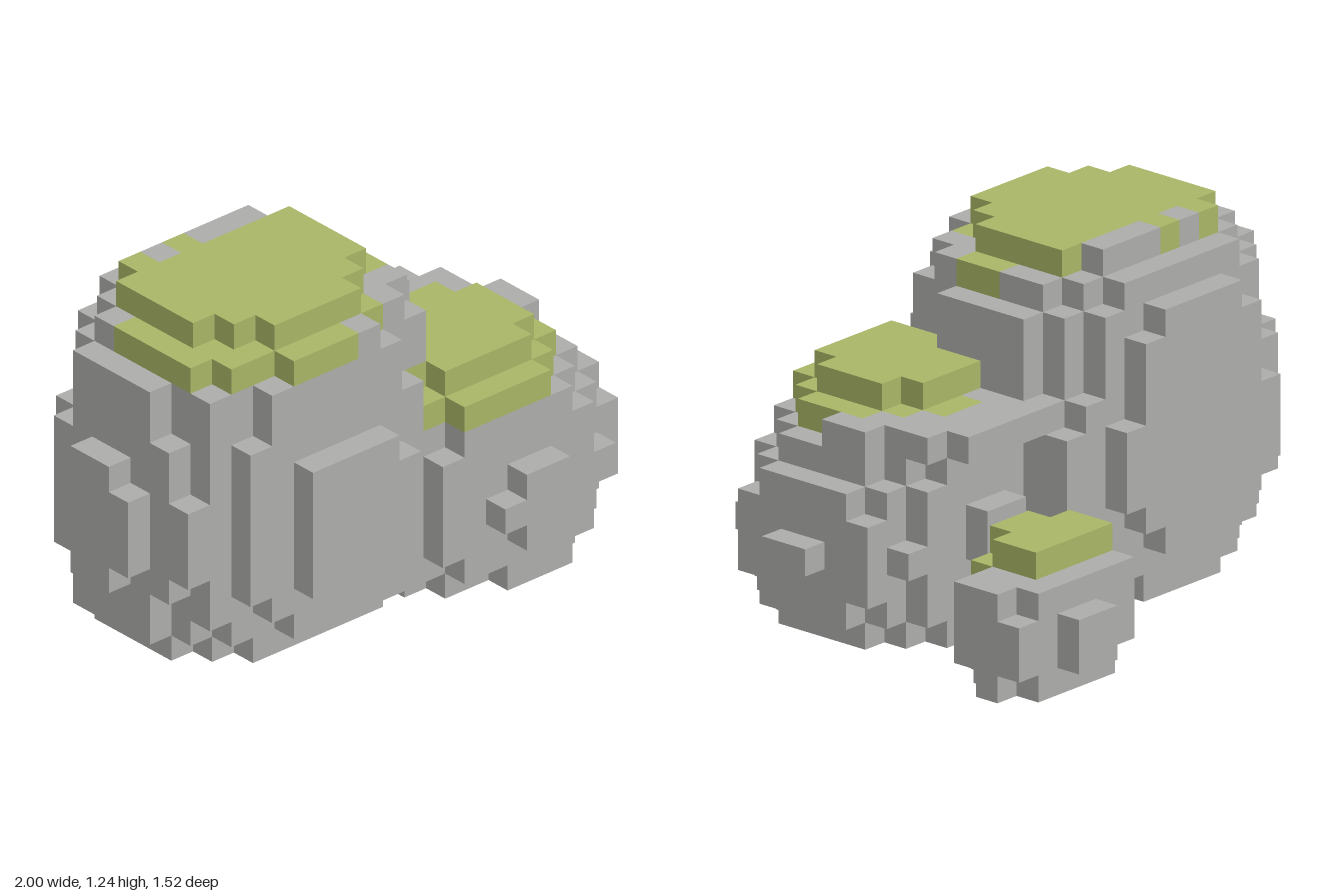
import * as THREE from 'three';
import { mergeGeometries } from 'three/addons/utils/BufferGeometryUtils.js';

// Cube size and the grid's extent in cubes
const S = 2 / 21, NX = 21, NZ = 16;

// Each rock: elliptical layers from the ground up, as [radiusX, radiusZ] in cubes,
// with an optional own centre [.., .., centreX, centreZ]
const rocks = [
  {
    name: 'lowBoulder', centre: [14.6, 11],
    layers: [
      [4.4, 3.7, 15.1, 11], [5.3, 4.3], [5.9, 4.53], [6.1, 4.69], [5.9, 4.58],
      [5.8, 4.4], [4.85, 4.2], [4.2, 4.74, 14.4, 10.3], [3.1, 2.6, 14, 11.5],
    ],
    mossy: (x, y, z) => y === 8 || (y === 7 && x < 18
      && (z >= 10 || (z === 9 && x < 17) || (z === 8 && (x === 14 || x === 15)))),
  },
  {
    name: 'tallBoulder', centre: [7, 9.2],
    layers: [
      [5.2, 4.2], [7, 4.62, 8, 9.2], [6, 5], [6.65, 5.45],
      [7.02, 5.68, 7.2, 9.2], [7.02, 5.68, 7.2, 9.2], [7.02, 5.68, 7.2, 9.2],
      [6.65, 5.45], [6.3, 5.2], [6, 5.2], [6, 5.05], [5.3, 4.55], [4.1, 3.6],
    ],
    mossy: (x, y, z) => (y === 12 && (z >= 7 || x === 4 || x === 6))
      || (y === 11 && z >= 8 && (x < 8 || (x === 9 && z === 12) || z === 9 || z === 10)),
  },
  {
    name: 'smallStone', centre: [17, 2.5],
    layers: [
      [2.6, 2, 17, 2.8], [2.8, 2.33], [2.8, 2.33], [2.9, 2.14, 16.9, 2.7], [1.95, 1.5, 16, 3.4],
    ],
    mossy: (x, y, z) => y === 4 || (y === 3 && z === 4),
  },
];

const key = (x, y, z) => `${x},${y},${z}`;

// Outward directions with the rotation that turns a +z plane to face them
const sides = [
  [0, 0, 1, 0, 0], [0, 0, -1, 0, Math.PI],
  [1, 0, 0, 0, Math.PI / 2], [-1, 0, 0, 0, -Math.PI / 2],
  [0, 1, 0, -Math.PI / 2, 0], [0, -1, 0, Math.PI / 2, 0],
];

// Cubes of one rock whose centres lie inside the layer ellipses
function fillRock({ layers, centre }) {
  const cells = [];
  layers.forEach(([rx, rz, cx = centre[0], cz = centre[1]], y) => {
    for (let x = 0; x < NX; x++) {
      for (let z = 0; z < NZ; z++) {
        if (Math.hypot((x + 0.5 - cx) / rx, (z + 0.5 - cz) / rz) <= 1) cells.push([x, y, z]);
      }
    }
  });
  return cells;
}

// Square faces on the exposed sides of the given cubes
function skin(cells, solid) {
  const faces = [];
  for (const [x, y, z] of cells) {
    for (const [nx, ny, nz, rx, ry] of sides) {
      if (solid.has(key(x + nx, y + ny, z + nz))) continue;
      const face = new THREE.PlaneGeometry(S, S);
      face.rotateX(rx).rotateY(ry);
      face.translate(
        (x + 0.5 - NX / 2 + nx / 2) * S,
        (y + 0.5 + ny / 2) * S,
        (z + 0.5 - NZ / 2 + nz / 2) * S,
      );
      faces.push(face);
    }
  }
  return mergeGeometries(faces);
}

export function createModel() {
  const model = new THREE.Group();
  model.name = 'mossyRocks';
  const stone = new THREE.MeshStandardMaterial({ color: 0xacacaa });
  stone.name = 'stoneGrey';
  const moss = new THREE.MeshStandardMaterial({ color: 0xa8b566 });
  moss.name = 'mossGreen';

  // Shared cubes belong to the first rock that claims them
  const solid = new Set();
  const filled = rocks.map((rock) => fillRock(rock).filter((c) => {
    const k = key(...c);
    return !solid.has(k) && solid.add(k);
  }));

  rocks.forEach((rock, i) => {
    const group = new THREE.Group();
    group.name = rock.name;
    const body = new THREE.Mesh(skin(filled[i].filter((c) => !rock.mossy(...c)), solid), stone);
    body.name = 'stoneBody';
    const cap = new THREE.Mesh(skin(filled[i].filter((c) => rock.mossy(...c)), solid), moss);
    cap.name = 'mossCap';
    group.add(body, cap);
    model.add(group);
  });
  return model;
}
